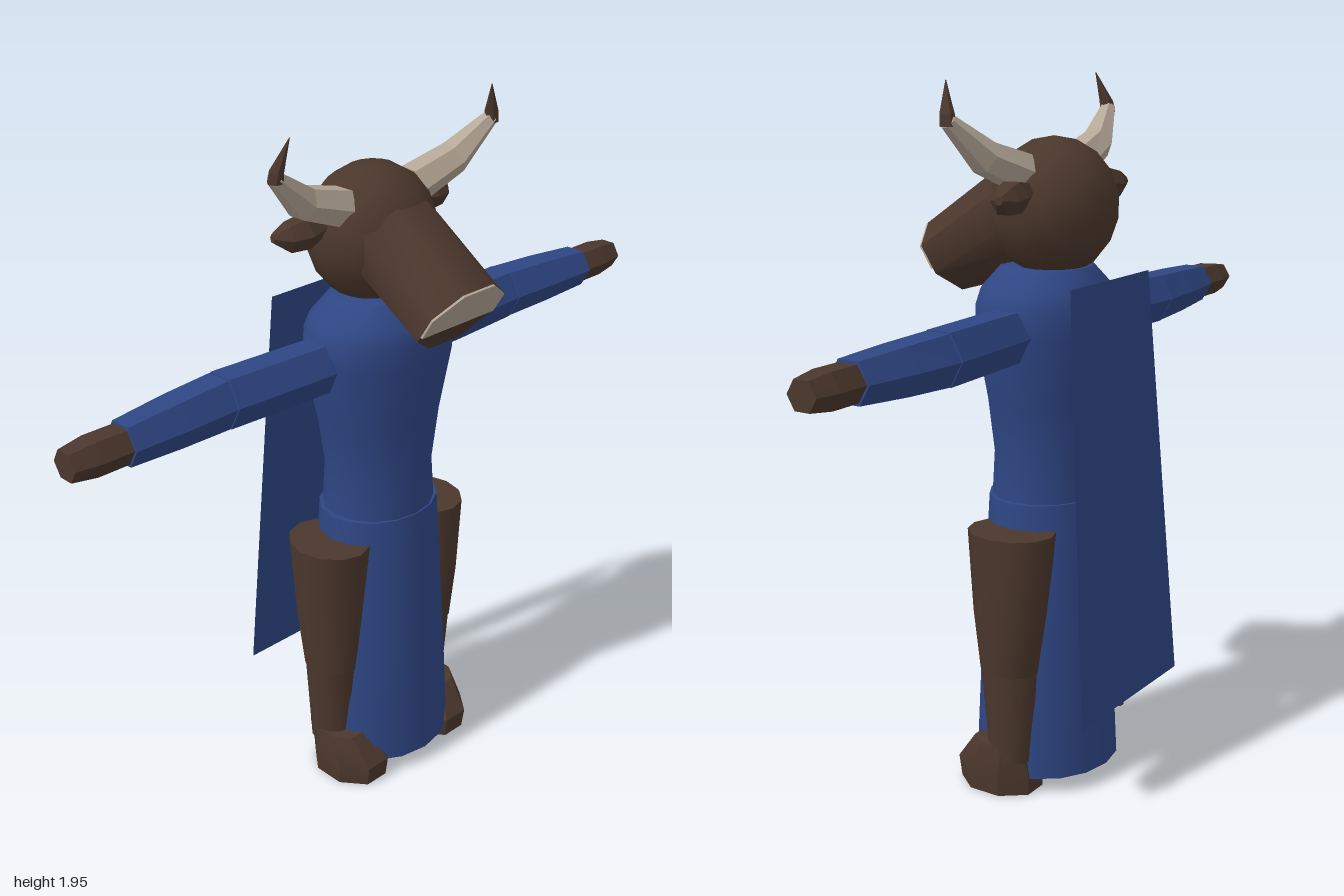
import * as THREE from 'three';
import { toCreasedNormals } from 'three/addons/utils/BufferGeometryUtils.js';

const mat = (name, color, side = THREE.FrontSide) => {
  const m = new THREE.MeshStandardMaterial({ color, side });
  m.name = name;
  return m;
};

// Closed loft through rings [x, y, z, radiusU, radiusV]; side -1 mirrors it in x.
function loft(rings, n, { dir, ref = [1, 0, 0], phase = 0, crease = 0, side = 1 } = {}) {
  const centres = rings.map(r => new THREE.Vector3(r[0], r[1], r[2]));
  const pos = [];
  const last = rings.length - 1;
  const loops = rings.map((r, i) => {
    const t = dir ? new THREE.Vector3(...dir)
      : centres[Math.min(i + 1, last)].clone().sub(centres[Math.max(i - 1, 0)]);
    t.normalize();
    const u = new THREE.Vector3(...ref);
    u.addScaledVector(t, -u.dot(t)).normalize();
    const v = new THREE.Vector3().crossVectors(t, u);
    return Array.from({ length: n }, (_, k) => {
      const a = phase + (k / n) * Math.PI * 2;
      return centres[i].clone().addScaledVector(u, r[3] * Math.cos(a))
        .addScaledVector(v, (r[4] ?? r[3]) * Math.sin(a));
    });
  });
  const tri = (a, b, c) => {
    for (const p of side > 0 ? [a, b, c] : [a, c, b]) pos.push(p.x * side, p.y, p.z);
  };
  for (let k = 0; k < n; k++) {
    const j = (k + 1) % n;
    for (let i = 0; i < last; i++) {
      tri(loops[i][k], loops[i][j], loops[i + 1][j]);
      tri(loops[i][k], loops[i + 1][j], loops[i + 1][k]);
    }
    tri(centres[0], loops[0][j], loops[0][k]);
    tri(centres[last], loops[last][k], loops[last][j]);
  }
  const g = new THREE.BufferGeometry();
  g.setAttribute('position', new THREE.Float32BufferAttribute(pos, 3));
  g.computeVertexNormals();
  return crease ? toCreasedNormals(g, crease) : g;
}

export function createModel() {
  const model = new THREE.Group();
  const blue = mat('blue cloth', 0x2e4684);
  const cloak = mat('blue cape cloth', 0x2e4684, THREE.DoubleSide);
  const brown = mat('brown hide', 0x4b372c);
  const bone = mat('bone', 0xb5a797);
  const add = (name, geo, material, parent = model) => {
    const m = new THREE.Mesh(geo, material);
    m.name = name;
    parent.add(m);
    return m;
  };
  const up = [0, 1, 0], out = [1, 0, 0], zAxis = [0, 0, 1];

  // Robe
  add('robeTop', loft([
    [0, 0.80, -0.045, 0.165, 0.15], [0, 0.95, -0.045, 0.155, 0.143],
    [0, 1.10, -0.045, 0.18, 0.155], [0, 1.28, -0.045, 0.222, 0.18],
    [0, 1.36, -0.042, 0.222, 0.175], [0, 1.40, -0.04, 0.2, 0.165],
    [0, 1.455, -0.042, 0.14, 0.12],
  ], 16, { dir: up, crease: 0.8 }), blue);
  add('skirt', loft([
    [0, 0.05, -0.047, 0.215, 0.198], [0, 0.40, -0.046, 0.2, 0.18], [0, 0.83, -0.045, 0.178, 0.153],
  ], 16, { dir: up, crease: 0.8 }), blue);

  // Cape: a flat flared sheet
  const cape = new THREE.PlaneGeometry(1, 1);
  const cp = cape.attributes.position;
  for (let i = 0; i < cp.count; i++) {
    const top = cp.getY(i) > 0;
    cp.setXYZ(i, Math.sign(cp.getX(i)) * (top ? 0.2 : 0.258), top ? 1.43 : 0.27, top ? -0.24 : -0.32);
  }
  cape.computeVertexNormals();
  add('cape', cape, cloak);

  // Head and snout
  const head = new THREE.SphereGeometry(1, 14, 9);
  head.scale(0.183, 0.185, 0.172);
  add('head', head, brown).position.set(0, 1.61, -0.063);
  const snoutDir = [0, -0.54, 0.842];
  add('snout', loft([
    [0, 1.614, 0.015, 0.145, 0.122], [0, 1.46, 0.255, 0.143, 0.113],
  ], 8, { dir: snoutDir, phase: Math.PI / 8, crease: 0.9 }), brown);

  // Nose plate on the upper part of the snout's end
  const noseShape = new THREE.Shape([
    [0.132, -0.025], [0.132, 0.043], [0.055, 0.105], [-0.055, 0.105], [-0.132, 0.043], [-0.132, -0.025],
  ].map(p => new THREE.Vector2(...p)));
  const nose = add('nose', new THREE.ExtrudeGeometry(noseShape, { depth: 0.006, bevelEnabled: false }), bone);
  nose.position.set(0, 1.46, 0.255);
  nose.rotation.x = Math.asin(0.54);

  // Tail
  add('tail', loft([[0, 0.76, -0.19, 0.01], [0, 0.40, -0.277, 0.01]], 6), brown);
  add('tailTuft', loft([[0, 0.41, -0.277, 0.012], [0, 0.37, -0.28, 0.017], [0, 0.24, -0.281, 0.015]], 6), brown);

  for (const side of [1, -1]) {
    const half = new THREE.Group();
    half.name = side > 0 ? 'leftSide' : 'rightSide';
    model.add(half);

    // Sleeves and hand
    const limb = { dir: out, ref: zAxis, side };
    add('upperSleeve', loft([
      [0.12, 1.293, -0.048, 0.07, 0.076], [0.30, 1.293, -0.056, 0.072, 0.078], [0.523, 1.293, -0.068, 0.072, 0.078],
    ], 6, limb), blue, half);
    add('lowerSleeve', loft([
      [0.527, 1.293, -0.068, 0.072, 0.076], [0.68, 1.293, -0.06, 0.07, 0.07], [0.84, 1.293, -0.05, 0.06, 0.06],
    ], 6, limb), blue, half);
    add('hand', loft([
      [0.83, 1.293, -0.05, 0.054, 0.052], [0.93, 1.293, -0.05, 0.055, 0.052], [1.0, 1.293, -0.05, 0.043, 0.042],
    ], 6, limb), brown, half);

    // Leg and foot
    add('thigh', loft([
      [0.185, 0.36, -0.045, 0.08, 0.085], [0.19, 0.53, -0.048, 0.089, 0.106], [0.185, 0.76, -0.05, 0.105, 0.125],
    ], 12, { dir: up, crease: 0.8, side }), brown, half);
    add('shin', loft([
      [0.182, 0.10, -0.05, 0.065, 0.067], [0.185, 0.38, -0.045, 0.079, 0.084],
    ], 12, { dir: up, crease: 0.8, side }), brown, half);
    add('foot', loft([
      [0.165, 0, 0.0, 0.095, 0.122], [0.165, 0.06, 0.003, 0.1, 0.128], [0.187, 0.145, -0.02, 0.065, 0.085],
    ], 8, { dir: up, phase: Math.PI / 8, crease: 0.5, side }), brown, half);

    // Horn with dark tip
    add('horn', loft([
      [0.13, 1.708, -0.045, 0.055], [0.27, 1.755, -0.03, 0.046], [0.382, 1.848, 0, 0.021],
    ], 6, { ref: zAxis, side }), bone, half);
    add('hornTip', loft([
      [0.38, 1.835, 0, 0.021], [0.378, 1.865, 0.004, 0.019], [0.353, 1.945, 0.025, 0.001],
    ], 6, { dir: up, side }), brown, half);

    // Ear
    add('ear', loft([
      [0.14, 1.665, -0.075, 0.02], [0.22, 1.655, -0.082, 0.046], [0.27, 1.65, -0.09, 0.04], [0.31, 1.655, -0.1, 0.012],
    ], 6, { ref: zAxis, side }), brown, half);
  }
  return model;
}
